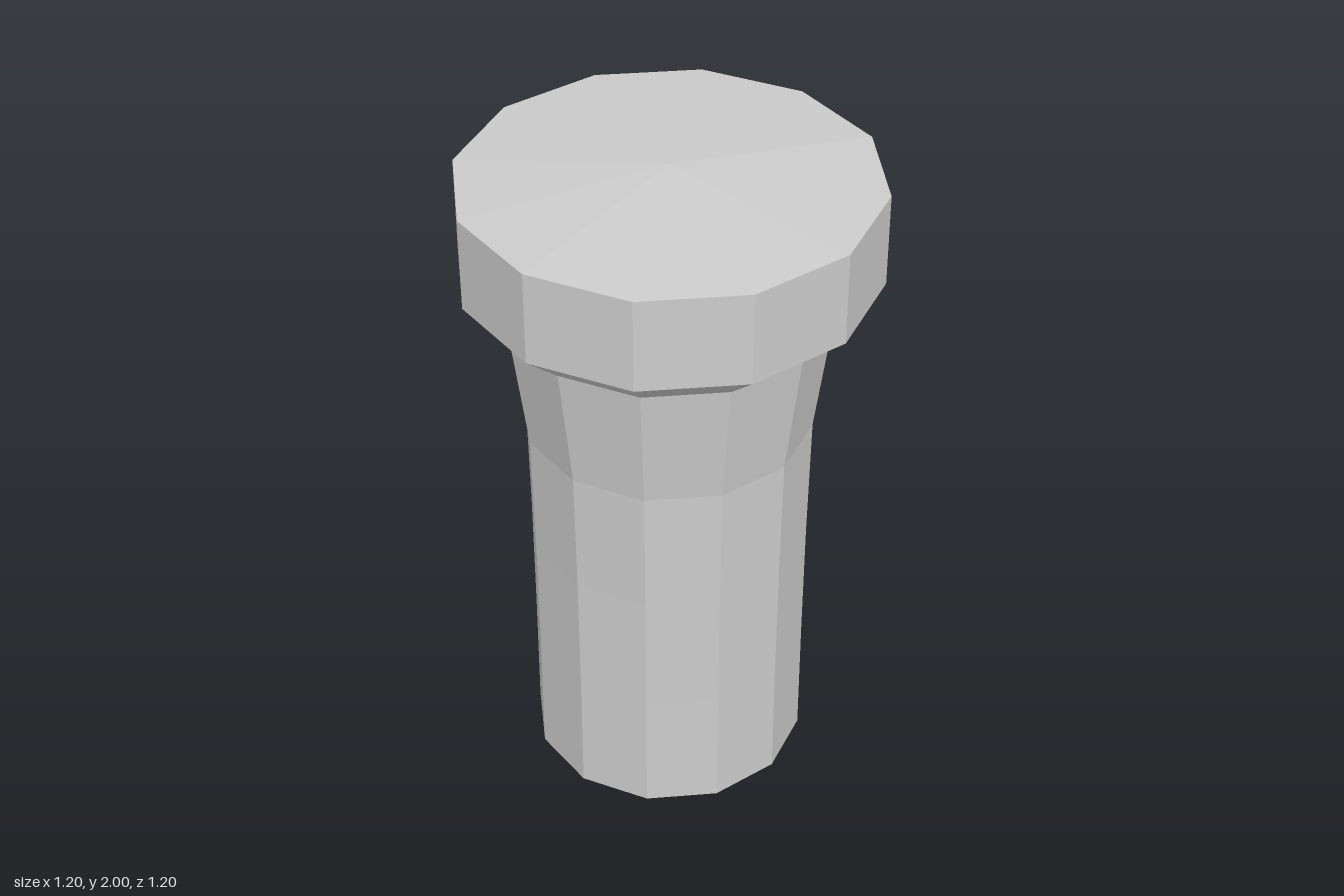
import * as THREE from 'three';

const SIDES = 12;

// Turned solid from [radius, y] rings, listed bottom to top
function turned(name, rings, material) {
  const geometry = new THREE.LatheGeometry(rings.map(([r, y]) => new THREE.Vector2(r, y)), SIDES);
  // everything below the collar sits very slightly off-axis
  const p = geometry.attributes.position;
  for (let i = 0; i < p.count; i++) {
    if (p.getY(i) < 1.6) p.setX(i, p.getX(i) - 0.005);
  }
  geometry.computeVertexNormals();
  const mesh = new THREE.Mesh(geometry, material);
  mesh.name = name;
  return mesh;
}

export function createModel() {
  const group = new THREE.Group();
  group.name = 'peg';
  const material = new THREE.MeshStandardMaterial({ color: 0xcccccc, flatShading: true });

  // Shaft with closed base, flaring towards the head
  group.add(turned('shaft', [
    [0, 0], [0.412, 0], [0.412, 0.4], [0.414, 0.78], [0.42, 1.17], [0.47, 1.56],
  ], material));

  // Head: sloped collar, straight rim and shallow pointed cap
  group.add(turned('head', [
    [0.47, 1.56], [0.6, 1.675], [0.6, 1.955], [0, 2],
  ], material));

  return group;
}
